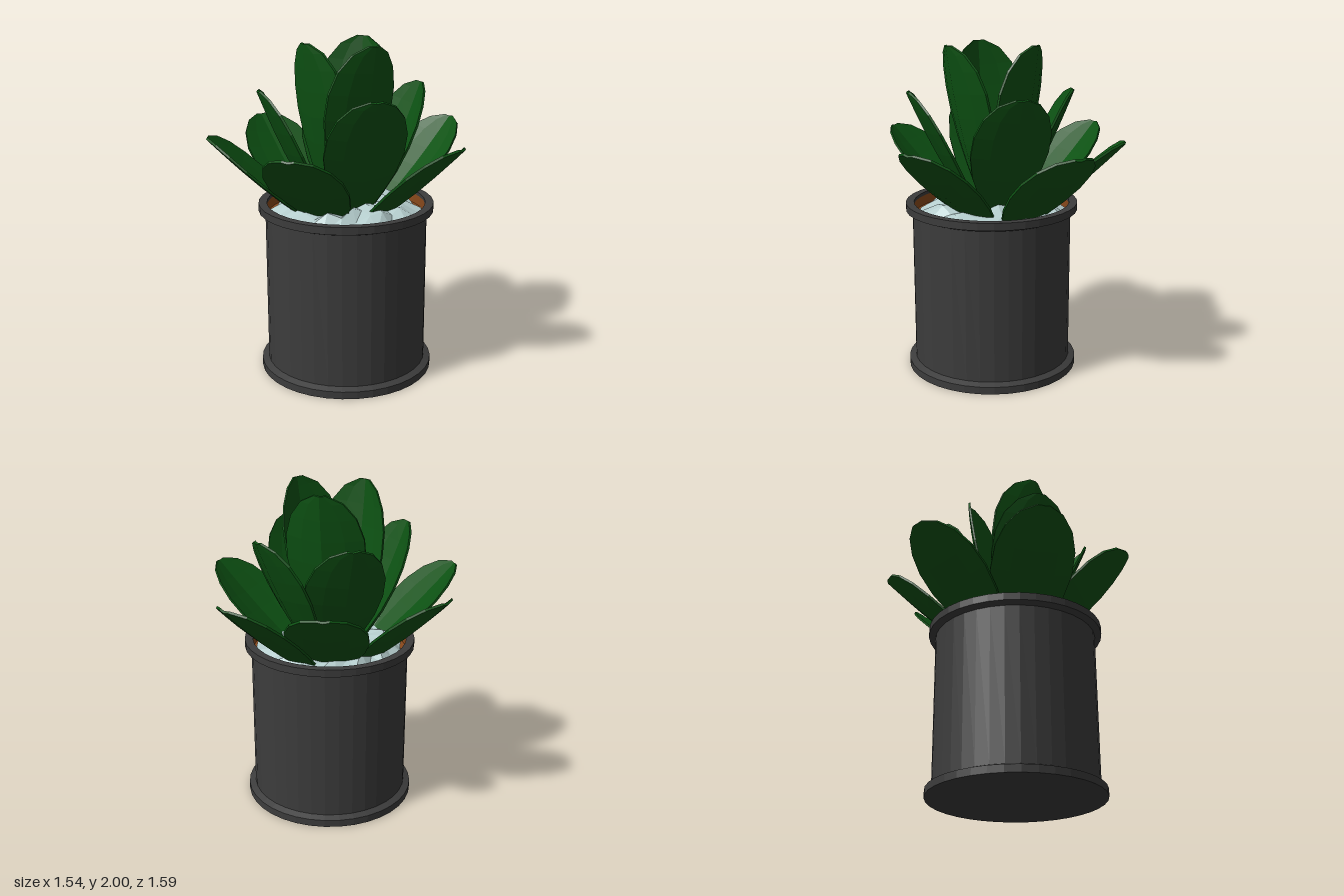
import * as THREE from 'three';

const green = new THREE.MeshStandardMaterial({ color: 0x0d5213, flatShading: true });
const charcoal = new THREE.MeshStandardMaterial({ color: 0x3c3c3c, flatShading: true });
const brown = new THREE.MeshStandardMaterial({ color: 0x8a4a1c, flatShading: true, side: THREE.DoubleSide });
const pale = new THREE.MeshStandardMaterial({ color: 0xb4cccc, flatShading: true, side: THREE.DoubleSide });

const POT_X = 0.06, POT_Z = 0.075;

// half width of a leaf along its length
const PROFILE = [[0, 0.03], [0.15, 0.08], [0.3, 0.15], [0.45, 0.21], [0.6, 0.24],
  [0.74, 0.235], [0.86, 0.195], [0.95, 0.125], [1, 0.035]];
const COLUMNS = [-1, -0.55, 0, 0.55, 1];

// Thin cupped leaf with a midrib crease, from base to tip
function leafGeometry(base, tip, cup) {
  const along = tip.clone().sub(base);
  const side = new THREE.Vector3(along.z, 0, -along.x).normalize();
  const inward = along.clone().cross(side).normalize();
  if (inward.y < 0) inward.negate();
  const pos = [], idx = [];
  const rows = PROFILE.length, cols = COLUMNS.length, layer = rows * cols;
  for (const thick of [0.007, -0.007]) {
    for (const [t, w] of PROFILE) {
      for (const u of COLUMNS) {
        const lift = cup * (w / 0.24) * Math.abs(u) ** 1.3 - 0.03 * Math.sin(Math.PI * t) + thick;
        const p = base.clone().addScaledVector(along, t)
          .addScaledVector(side, w * u).addScaledVector(inward, lift);
        pos.push(p.x, p.y, p.z);
      }
    }
  }
  const quad = (a, b, c, d) => idx.push(a, b, c, a, c, d);
  for (let r = 0; r < rows - 1; r++) {
    for (let c = 0; c < cols - 1; c++) {
      const a = r * cols + c, b = a + 1, d = a + cols, e = d + 1;
      quad(a, d, e, b);
      quad(a + layer, b + layer, e + layer, d + layer);
    }
    // side walls
    const l = r * cols, m = l + cols - 1;
    quad(l, l + layer, l + cols + layer, l + cols);
    quad(m, m + cols, m + cols + layer, m + layer);
  }
  // end walls
  for (let c = 0; c < cols - 1; c++) {
    const e = (rows - 1) * cols + c;
    quad(c, c + 1, c + 1 + layer, c + layer);
    quad(e, e + layer, e + 1 + layer, e + 1);
  }
  // the inner face must look along +inward
  const [p0, p1, p2] = [0, 1, 2].map(i => new THREE.Vector3().fromArray(pos, idx[i] * 3));
  if (p1.sub(p0).cross(p2.sub(p0)).dot(inward) < 0) {
    for (let i = 0; i < idx.length; i += 3) [idx[i + 1], idx[i + 2]] = [idx[i + 2], idx[i + 1]];
  }
  const g = new THREE.BufferGeometry();
  g.setAttribute('position', new THREE.Float32BufferAttribute(pos, 3));
  g.setIndex(idx);
  g.computeVertexNormals();
  return g;
}

// Leaf tiers; each leaf is [tipX, tipZ, baseX, baseZ]
const TIERS = [
  { name: 'lowerLeaf', baseY: 0.8, tipY: 1.45, cup: 0.05, leaves: [
    [0.03, -0.79, 0.03, 0], [0.76, -0.2, 0.02, 0.03], [0.4, 0.72, -0.02, 0.1],
    [-0.36, 0.77, 0.03, 0.1], [-0.77, 0.14, 0, 0.14], [-0.47, -0.54, 0.02, 0.06]] },
  { name: 'middleLeaf', baseY: 0.85, tipY: 1.73, cup: 0.06, leaves: [
    [-0.16, 0.54, 0.02, 0.13], [0.54, 0.23, 0.08, 0.06],
    [0.16, -0.42, 0.06, 0.02], [-0.36, -0.18, 0.02, 0.06]] },
  { name: 'innerLeaf', baseY: 0.95, tipY: 2.0, cup: 0.08, leaves: [
    [0, 0.33, 0, 0.14], [-0.1, -0.18, 0, 0.02], [0.35, 0.09, 0.08, 0.09]] },
];

function createLeaves() {
  const group = new THREE.Group();
  group.name = 'leaves';
  for (const { name, baseY, tipY, cup, leaves } of TIERS) {
    leaves.forEach(([tx, tz, bx, bz], i) => {
      const geo = leafGeometry(new THREE.Vector3(bx, baseY, bz), new THREE.Vector3(tx, tipY, tz), cup);
      const leaf = new THREE.Mesh(geo, green);
      leaf.name = name + (i + 1);
      group.add(leaf);
    });
  }
  return group;
}

function createPot() {
  const group = new THREE.Group();
  group.name = 'pot';
  group.position.set(POT_X, 0, POT_Z);

  // Wall with a foot ring and a rim
  const outline = [[0, 0], [0.525, 0], [0.525, 0.045], [0.485, 0.06], [0.485, 0.99],
    [0.525, 1.005], [0.525, 1.05], [0.475, 1.05], [0.475, 1.03]];
  const wall = new THREE.Mesh(
    new THREE.LatheGeometry(outline.map(([r, y]) => new THREE.Vector2(r, y)), 36), charcoal);
  wall.name = 'potWall';

  // Liner inside the rim, and the soil
  const liner = new THREE.Mesh(new THREE.CylinderGeometry(0.475, 0.475, 0.08, 36, 1, true), brown);
  liner.name = 'liner';
  liner.position.y = 0.99;
  const soil = new THREE.Mesh(new THREE.CircleGeometry(0.475, 36).rotateX(-Math.PI / 2), brown);
  soil.name = 'soil';
  soil.position.y = 0.97;

  // Faceted bed of pale stones
  const segments = 26, rings = 4;
  const stoneGeo = new THREE.RingGeometry(0, 0.455, segments, rings).rotateX(-Math.PI / 2);
  const hash = n => { const s = Math.sin(n * 127.1 + 3.7) * 43758.5453; return s - Math.floor(s); };
  const p = stoneGeo.attributes.position;
  for (let i = 0; i < p.count; i++) {
    const ring = Math.floor(i / (segments + 1)), step = (i % (segments + 1)) % segments;
    const noise = hash(ring * segments + step);
    const y = ring === 0 ? 1.05 : ring === rings ? 0.97 + 0.03 * noise : 1.015 + 0.06 * noise;
    const k = ring === rings ? 0.95 + 0.06 * noise : 1;
    p.setXYZ(i, p.getX(i) * k, y, p.getZ(i) * k);
  }
  stoneGeo.computeVertexNormals();
  const stones = new THREE.Mesh(stoneGeo, pale);
  stones.name = 'stones';

  group.add(wall, liner, soil, stones);
  return group;
}

export function createModel() {
  const model = new THREE.Group();
  model.name = 'pottedPlant';
  model.add(createPot(), createLeaves());
  return model;
}
